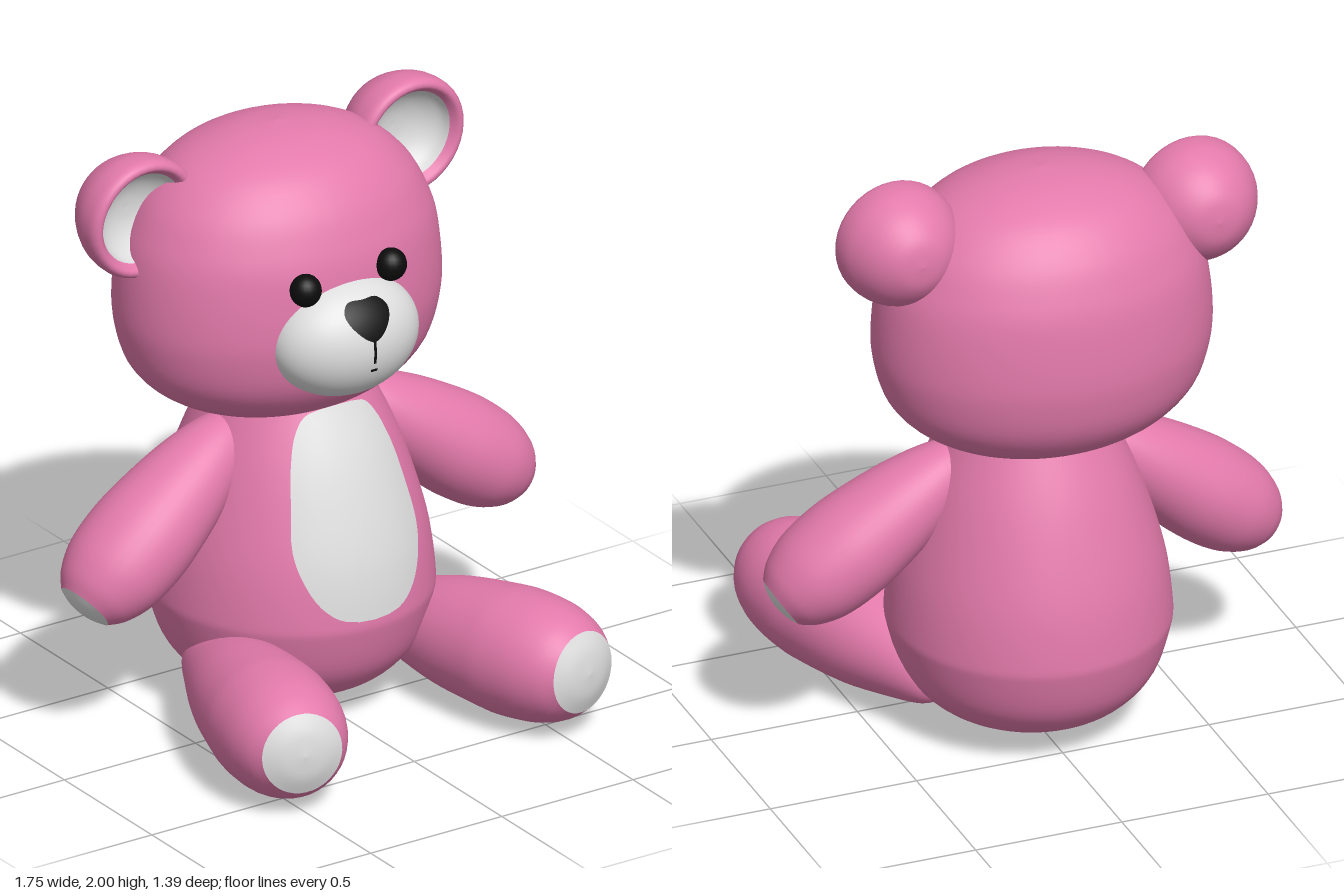
import * as THREE from 'three';

const mat = (name, color) => {
  const m = new THREE.MeshStandardMaterial({ color, side: THREE.DoubleSide });
  m.name = name;
  return m;
};

// Smooth profile of [radius, height] pairs
const smooth = (pts, n = 36) =>
  new THREE.SplineCurve(pts.map(p => new THREE.Vector2(...p)))
    .getPoints(n).map(p => new THREE.Vector2(Math.max(p.x, 0), p.y));

// Radius of a rising profile at a given height
const radiusAt = (profile, y) => {
  for (let i = 1; i < profile.length; i++) {
    const a = profile[i - 1], b = profile[i];
    if (y <= b.y) return a.x + (b.x - a.x) * (y - a.y) / (b.y - a.y);
  }
  return profile[profile.length - 1].x;
};

// Thin patch: an outline filled with rings and laid on the surface z = depth(x, y)
function patchGeometry(outline, depth, rings = 12, closedCurve = true) {
  const vecs = outline.map(p => new THREE.Vector3(p[0], p[1], 0));
  const edge = closedCurve
    ? new THREE.CatmullRomCurve3(vecs, true).getPoints(64).slice(0, -1) : vecs;
  const c = edge.reduce((s, p) => s.add(p), new THREE.Vector3()).divideScalar(edge.length);
  const pos = [], idx = [], n = edge.length;
  for (let r = 0; r <= rings; r++) {
    for (let i = 0; i < n; i++) {
      const p = c.clone().lerp(edge[i], r / rings);
      pos.push(p.x, p.y, depth(p.x, p.y));
      if (r === rings) continue;
      const a = r * n + i, b = r * n + (i + 1) % n;
      if (r > 0) idx.push(a, b + n, b);
      idx.push(a, a + n, b + n);
    }
  }
  const g = new THREE.BufferGeometry();
  g.setAttribute('position', new THREE.Float32BufferAttribute(pos, 3));
  g.setIndex(idx);
  g.computeVertexNormals();
  return g;
}

export function createModel() {
  const pink = mat('pinkFur', 0xe37aab);
  const white = mat('whiteFur', 0xdedede);
  const black = mat('black', 0x0c0c0c);
  const model = new THREE.Group();
  model.name = 'teddyBear';

  const add = (parent, name, geo, material, pos = [0, 0, 0], scale = [1, 1, 1]) => {
    const m = new THREE.Mesh(geo, material);
    m.name = name;
    m.position.set(...pos);
    m.scale.set(...scale);
    parent.add(m);
    return m;
  };

  // Body
  const bodyProfile = smooth([[0, 0.045], [0.15, 0.05], [0.25, 0.075], [0.34, 0.13], [0.41, 0.22],
    [0.45, 0.35], [0.455, 0.42], [0.435, 0.58], [0.39, 0.75], [0.33, 0.92], [0.25, 1.09]], 50);
  add(model, 'body', new THREE.LatheGeometry(bodyProfile, 64), pink, [0, 0, -0.21], [1, 1, 1.05]);

  // Belly patch
  const half = [[0.1, 0.425], [0.175, 0.48], [0.22, 0.57], [0.235, 0.66], [0.215, 0.8],
    [0.19, 0.92], [0.15, 1.02], [0.1, 1.07]];
  const bellyOutline = [...half, ...half.map(([x, y]) => [-x, y]).reverse()];
  add(model, 'bellyPatch', patchGeometry(bellyOutline, (x, y) =>
    -0.203 + 1.05 * Math.sqrt(radiusAt(bodyProfile, y) ** 2 - x * x)), white);

  // Head
  const headProfile = smooth([[0, 1.04], [0.25, 1.045], [0.4, 1.1], [0.505, 1.2], [0.55, 1.33],
    [0.557, 1.45], [0.54, 1.6], [0.505, 1.7], [0.445, 1.8], [0.335, 1.895], [0.17, 1.955], [0, 1.975]], 50);
  add(model, 'head', new THREE.LatheGeometry(headProfile, 64), pink, [-0.037, 0, -0.23], [1, 1, 0.79]);

  // Muzzle, with nose and mouth lying on it
  const mc = [-0.04, 1.38, 0.155], mr = [0.26, 0.2, 0.188];
  add(model, 'muzzle', new THREE.SphereGeometry(1, 48, 32), white, mc, mr);
  const onMuzzle = (x, y) => mc[2] + 0.005 +
    mr[2] * Math.sqrt(Math.max(0, 1 - ((x - mc[0]) / mr[0]) ** 2 - ((y - mc[1]) / mr[1]) ** 2));
  add(model, 'nose', patchGeometry([[-0.043, 1.42], [0.022, 1.47], [0.036, 1.51], [0.01, 1.538],
    [-0.043, 1.541], [-0.1, 1.538], [-0.124, 1.51], [-0.11, 1.47]], onMuzzle), black);
  const strip = (name, x, y, w, h) => add(model, name, patchGeometry(
    [[x - w, y - h], [x, y - h], [x + w, y - h], [x + w, y], [x + w, y + h], [x, y + h], [x - w, y + h], [x - w, y]],
    onMuzzle, 4, false), black);
  strip('mouthLine', -0.045, 1.385, 0.005, 0.04);
  strip('mouthDot', -0.045, 1.32, 0.012, 0.005);

  // Eyes
  for (const [name, x, y] of [['rightEye', -0.21, 1.585], ['leftEye', 0.115, 1.594]]) {
    add(model, name, new THREE.SphereGeometry(1, 20, 14), black, [x, y, 0.195], [0.052, 0.054, 0.05]);
  }

  // Ears: domed shells with a rolled rim and a pale bowl inside
  const earShell = smooth([[0, -0.25], [0.08, -0.235], [0.15, -0.18], [0.195, -0.1], [0.205, -0.03],
    [0.195, 0], [0.175, 0.004], [0.155, -0.02]]);
  const earBowl = smooth([[0.155, -0.02], [0.14, -0.055], [0.1, -0.09], [0.05, -0.11], [0, -0.115]], 16);
  for (const [name, x, y, z, yaw] of [['rightEar', -0.55, 1.762, -0.205, 0.03], ['leftEar', 0.458, 1.797, -0.19, 0.03]]) {
    const ear = new THREE.Group();
    ear.name = name;
    add(ear, 'earShell', new THREE.LatheGeometry(earShell, 40), pink);
    add(ear, 'earBowl', new THREE.LatheGeometry(earBowl, 40), white);
    ear.position.set(x, y, z);
    ear.rotation.set(Math.PI / 2 + 0.05, 0, -yaw);
    model.add(ear);
  }

  // Limbs: tapered lathes from joint to tip, ending in a pale pad
  const limb = (name, from, to, profile, pad, depthScale) => {
    const a = new THREE.Vector3(...from), dir = new THREE.Vector3(...to).sub(a);
    const len = dir.length();
    const scaled = pts => pts.map(([r, t]) => [r, t * len]);
    const g = new THREE.Group();
    g.name = name;
    add(g, name + 'Fur', new THREE.LatheGeometry(smooth(scaled(profile)), 40), pink);
    add(g, name + 'Pad', new THREE.LatheGeometry(smooth(scaled(pad), 10), 40), white);
    g.position.copy(a);
    g.quaternion.setFromUnitVectors(new THREE.Vector3(0, 1, 0), dir.normalize());
    g.scale.z = depthScale;
    model.add(g);
  };

  const armProfile = [[0, 0], [0.055, 0.02], [0.1, 0.12], [0.138, 0.3], [0.162, 0.5], [0.17, 0.65],
    [0.16, 0.8], [0.128, 0.91], [0.09, 0.97]];
  const armPad = [[0.09, 0.97], [0.05, 0.99], [0, 1]];
  limb('rightArm', [-0.2, 0.99, -0.2], [-0.84, 0.49, -0.15], armProfile, armPad, 1.08);
  limb('leftArm', [0.2, 0.99, -0.2], [0.845, 0.53, -0.16], armProfile, armPad, 1.08);

  const legProfile = [[0, 0], [0.05, 0.012], [0.09, 0.06], [0.132, 0.2], [0.18, 0.4], [0.205, 0.6],
    [0.21, 0.7], [0.2, 0.82], [0.172, 0.91], [0.135, 0.965]];
  const legPad = [[0.135, 0.965], [0.075, 0.99], [0, 1]];
  limb('rightLeg', [-0.3, 0.18, -0.26], [-0.54, 0.23, 0.69], legProfile, legPad, 1);
  limb('leftLeg', [0.32, 0.19, -0.26], [0.545, 0.24, 0.69], legProfile, legPad, 1);

  return model;
}
